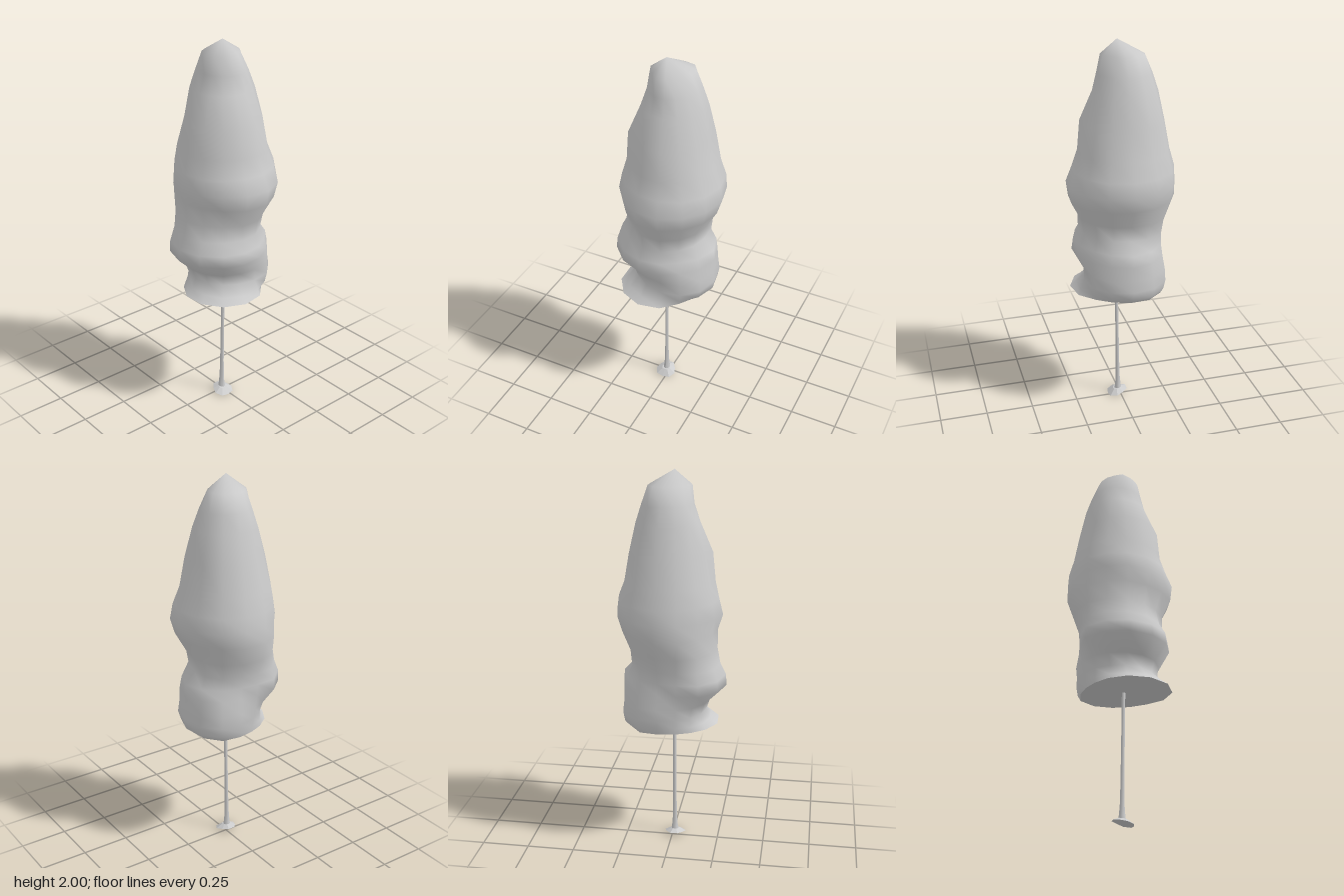
import * as THREE from 'three';

const SIDES = 14;

// Foliage sections: height, then radii at 45 degree steps turning from +x towards +z
const SECTIONS = [
  [1.93, 0.11, 0.08, 0.10, 0.09, 0.10, 0.10, 0.11, 0.13],
  [1.84, 0.15, 0.12, 0.12, 0.11, 0.11, 0.13, 0.15, 0.16],
  [1.75, 0.18, 0.155, 0.14, 0.14, 0.14, 0.16, 0.18, 0.19],
  [1.60, 0.21, 0.205, 0.205, 0.20, 0.205, 0.19, 0.21, 0.23],
  [1.45, 0.24, 0.23, 0.22, 0.21, 0.22, 0.23, 0.24, 0.255],
  [1.36, 0.275, 0.265, 0.25, 0.24, 0.24, 0.245, 0.265, 0.28],
  [1.28, 0.285, 0.285, 0.285, 0.255, 0.26, 0.25, 0.27, 0.285],
  [1.20, 0.26, 0.265, 0.275, 0.24, 0.235, 0.25, 0.275, 0.265],
  [1.10, 0.205, 0.21, 0.225, 0.21, 0.235, 0.245, 0.24, 0.235],
  [1.02, 0.195, 0.195, 0.215, 0.23, 0.25, 0.25, 0.21, 0.225],
  [0.96, 0.25, 0.22, 0.24, 0.265, 0.28, 0.265, 0.205, 0.23],
  [0.90, 0.255, 0.235, 0.25, 0.27, 0.285, 0.265, 0.205, 0.24],
  [0.82, 0.25, 0.24, 0.20, 0.20, 0.20, 0.20, 0.21, 0.255],
  [0.76, 0.26, 0.245, 0.20, 0.18, 0.18, 0.18, 0.20, 0.26],
  [0.71, 0.25, 0.23, 0.235, 0.23, 0.20, 0.185, 0.19, 0.25],
  [0.68, 0.21, 0.205, 0.26, 0.27, 0.24, 0.19, 0.185, 0.23],
];

// Smooth periodic radius between the eight measured directions
function radiusAt(section, t) {
  const i = Math.floor(t), f = t - i;
  const p = (k) => section[1 + ((i + k + 8) % 8)];
  const [a, b, c, d] = [p(-1), p(0), p(1), p(2)];
  return b + 0.5 * f * (c - a + f * (2 * a - 5 * b + 4 * c - d + f * (3 * (b - c) + d - a)));
}

function ringPoints(section) {
  const pts = [];
  for (let j = 0; j < SIDES; j++) {
    const angle = (j / SIDES) * Math.PI * 2;
    const r = radiusAt(section, (j / SIDES) * 8);
    pts.push(Math.cos(angle) * r, section[0], Math.sin(angle) * r);
  }
  return pts;
}

function makeGeometry(positions, index) {
  const g = new THREE.BufferGeometry();
  g.setAttribute('position', new THREE.Float32BufferAttribute(positions, 3));
  g.setIndex(index);
  g.computeVertexNormals();
  return g;
}

// Lumpy crown: pointed top joined to the stacked rings
function crownGeometry() {
  const positions = [-0.01, 2, 0.015];
  const index = [];
  SECTIONS.forEach((s) => positions.push(...ringPoints(s)));
  for (let j = 0; j < SIDES; j++) {
    const k = (j + 1) % SIDES;
    index.push(0, 1 + k, 1 + j);
    for (let i = 0; i < SECTIONS.length - 1; i++) {
      const a = 1 + i * SIDES, b = a + SIDES;
      index.push(a + j, a + k, b + j, a + k, b + k, b + j);
    }
  }
  return makeGeometry(positions, index);
}

// Flat underside of the crown
function undersideGeometry() {
  const positions = [0, 0.68, 0.02, ...ringPoints(SECTIONS[SECTIONS.length - 1])];
  const index = [];
  for (let j = 0; j < SIDES; j++) index.push(0, 1 + j, 1 + ((j + 1) % SIDES));
  return makeGeometry(positions, index);
}

// Slim trunk, widening at the foot and leaning very slightly
function trunkGeometry() {
  const profile = [[0.022, 0.02], [0.016, 0.05], [0.012, 0.1], [0.01, 0.2], [0.009, 0.45], [0.009, 0.72]];
  const g = new THREE.LatheGeometry(profile.map(([r, y]) => new THREE.Vector2(r, y)), 8);
  const p = g.attributes.position;
  for (let i = 0; i < p.count; i++) {
    const y = p.getY(i);
    p.setX(i, p.getX(i) - 0.014 + 0.006 * y);
    p.setZ(i, p.getZ(i) + 0.01 + 0.014 * y);
  }
  g.computeVertexNormals();
  return g;
}

// Thin uneven root plate, tilted down towards the front
function rootGeometry() {
  const g = new THREE.CylinderGeometry(0.022, 0.055, 0.02, 9, 1);
  const p = g.attributes.position;
  for (let i = 0; i < p.count; i++) {
    const x = p.getX(i), z = p.getZ(i);
    const lump = 1 + 0.1 * Math.sin(3 * Math.atan2(z, x));
    p.setXYZ(i, x * lump - 0.014, p.getY(i) + 0.026 - 0.24 * z, z * lump + 0.018);
  }
  const base = g.toNonIndexed();
  base.computeVertexNormals();
  base.computeBoundingBox();
  base.translate(0, -base.boundingBox.min.y, 0);
  return base;
}

export function createModel() {
  const grey = new THREE.MeshStandardMaterial({ color: 0xcccccc });
  grey.name = 'light grey';

  const tree = new THREE.Group();
  tree.name = 'tree';
  const parts = {
    crown: crownGeometry(),
    crownUnderside: undersideGeometry(),
    trunk: trunkGeometry(),
    roots: rootGeometry(),
  };
  for (const [name, geometry] of Object.entries(parts)) {
    const mesh = new THREE.Mesh(geometry, grey);
    mesh.name = name;
    tree.add(mesh);
  }
  return tree;
}
